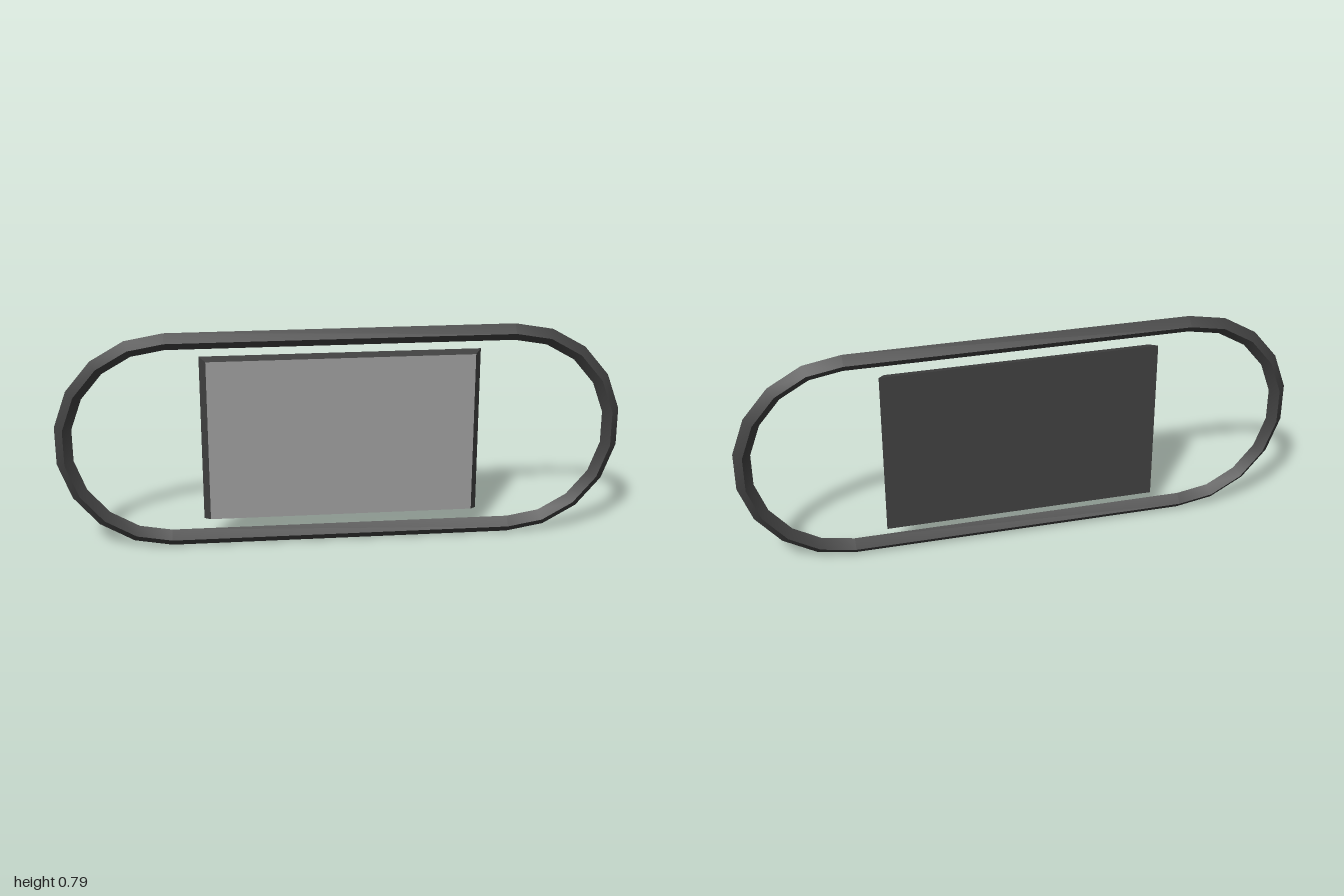
import * as THREE from 'three';
import { toCreasedNormals } from 'three/addons/utils/BufferGeometryUtils.js';

const MID_Y = 0.3965;   // height of the centre line
const END_X = 0.61;     // centre of each rounded end
const RADIUS = 0.3665;  // middle of the ring's diamond section
const HALF = 0.03;      // half diagonal of the diamond

// Stadium-shaped ring with a diamond cross-section
function ringGeometry() {
  const section = [[HALF, 0], [0, HALF], [-HALF, 0], [0, -HALF]]; // radial, z
  const positions = [], index = [];
  const perEnd = 10, count = perEnd * 2;
  for (let i = 0; i < count; i++) {
    const rightEnd = i < perEnd;
    const angle = THREE.MathUtils.degToRad(rightEnd ? -90 + i * 20 : 90 + (i - perEnd) * 20);
    const cx = rightEnd ? END_X : -END_X;
    for (const [r, z] of section) {
      positions.push(cx + (RADIUS + r) * Math.cos(angle), (RADIUS + r) * Math.sin(angle), z);
    }
  }
  for (let i = 0; i < count; i++) {
    for (let j = 0; j < 4; j++) {
      const a = i * 4 + j, b = i * 4 + (j + 1) % 4;
      const c = ((i + 1) % count) * 4 + j, d = ((i + 1) % count) * 4 + (j + 1) % 4;
      index.push(a, c, b, b, c, d);
    }
  }
  const geometry = new THREE.BufferGeometry();
  geometry.setAttribute('position', new THREE.Float32BufferAttribute(positions, 3));
  geometry.setIndex(index);
  return toCreasedNormals(geometry, Math.PI / 6);
}

// Shallow casing that tapers towards an open front
function casingGeometry(back, front, depth) {
  const geometry = new THREE.BoxGeometry(back.w, back.h, depth);
  const p = geometry.attributes.position;
  for (let i = 0; i < p.count; i++) {
    if (p.getZ(i) > 0) {
      p.setXY(i, Math.sign(p.getX(i)) * front.w / 2, Math.sign(p.getY(i)) * front.h / 2);
    }
  }
  // Leave out the front face, which the screen fills
  const index = Array.from(geometry.index.array);
  index.splice(24, 6);
  geometry.setIndex(index);
  geometry.clearGroups();
  geometry.computeVertexNormals();
  return geometry;
}

export function createModel() {
  const model = new THREE.Group();
  const dark = new THREE.MeshStandardMaterial({ color: 0x404040 });
  const grey = new THREE.MeshStandardMaterial({ color: 0x999999 });

  const add = (name, geometry, material, z = 0) => {
    const mesh = new THREE.Mesh(geometry, material);
    mesh.name = name;
    mesh.position.set(0, MID_Y, z);
    model.add(mesh);
  };

  const back = { w: 0.988, h: 0.608 };
  const front = { w: 0.942, h: 0.588 };
  const depth = 0.036;

  add('outerRing', ringGeometry(), dark);
  add('panelCasing', casingGeometry(back, front, depth), dark);
  add('screen', new THREE.PlaneGeometry(front.w, front.h), grey, depth / 2);
  return model;
}
